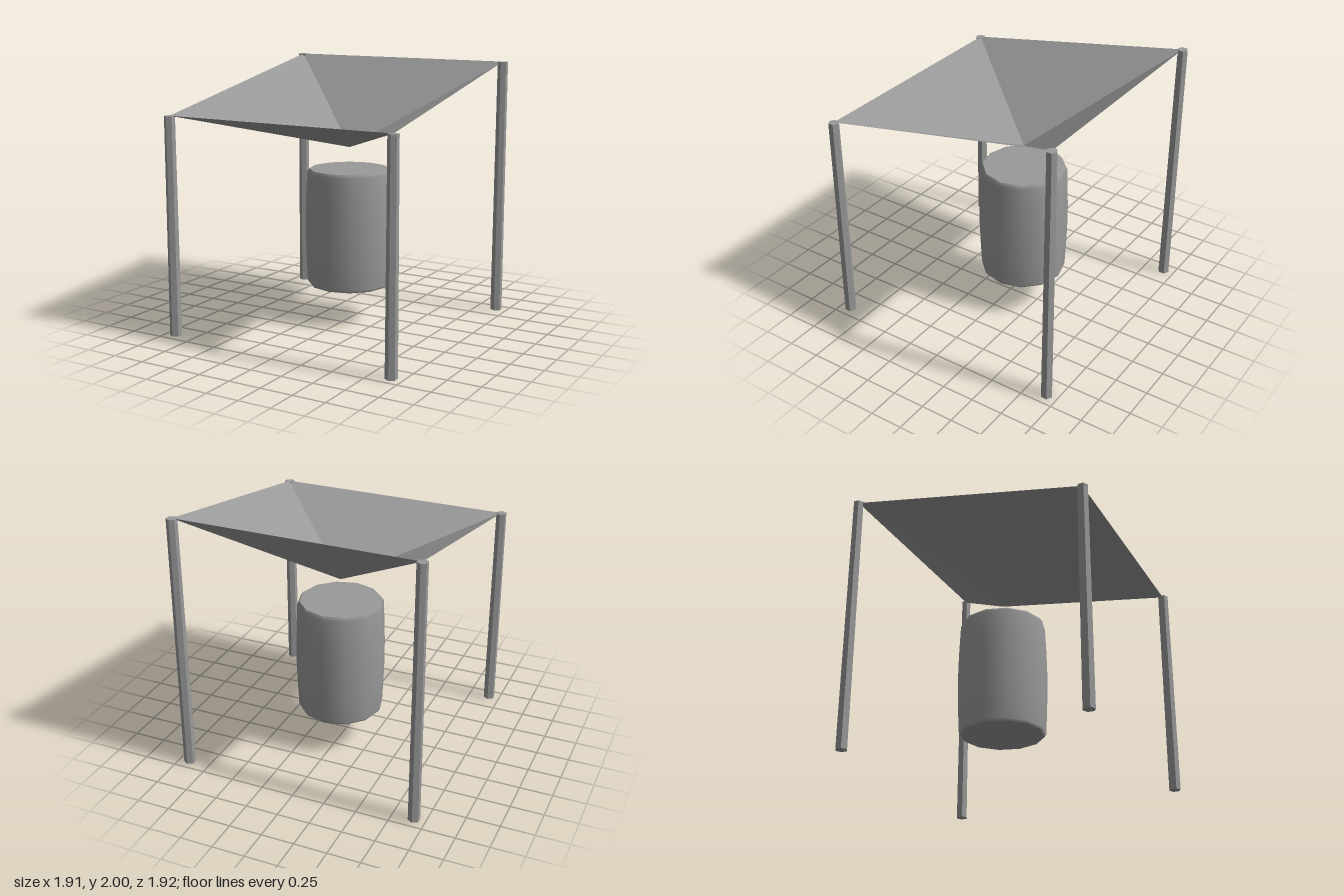
import * as THREE from 'three';

export function createModel() {
  const model = new THREE.Group();
  const grey = new THREE.MeshStandardMaterial({ name: 'grey', color: 0x999999 });
  const greyFlat = new THREE.MeshStandardMaterial({
    name: 'grey sheet', color: 0x999999, flatShading: true, side: THREE.DoubleSide,
  });

  const add = (name, geometry, material) => {
    const mesh = new THREE.Mesh(geometry, material);
    mesh.name = name;
    model.add(mesh);
    return mesh;
  };

  const reach = 0.914, frontHeight = 1.66, backHeight = 2, hubZ = -0.115;

  // Four slightly tapered hexagonal poles, the back pair taller
  for (const [depth, height] of [['front', frontHeight], ['back', backHeight]]) {
    for (const side of [1, -1]) {
      const pole = add(depth + (side > 0 ? 'Left' : 'Right') + 'Pole',
        new THREE.CylinderGeometry(0.04, 0.045, height, 6), greyFlat);
      pole.position.set(side * reach, height / 2, depth === 'front' ? reach : -reach);
    }
  }

  // Sloping canopy: four triangles sagging to a low centre point
  const corners = [
    [reach, frontHeight, reach], [reach, backHeight, -reach],
    [-reach, backHeight, -reach], [-reach, frontHeight, reach],
  ];
  const points = corners.flatMap((c, i) => [...c, ...corners[(i + 1) % 4], 0, 1.365, hubZ]);
  const sheet = new THREE.BufferGeometry();
  sheet.setAttribute('position', new THREE.Float32BufferAttribute(points, 3));
  sheet.computeVertexNormals();
  add('canopy', sheet, greyFlat);

  // Barrel hanging clear of the ground below the canopy's low point
  const profile = [
    [0.312, 0.29], [0.327, 0.31], [0.335, 0.5], [0.34, 0.66], [0.34, 0.83],
    [0.335, 0.99], [0.327, 1.175], [0.31, 1.2],
  ].map(([r, y]) => new THREE.Vector2(r, y));
  add('barrelWall', new THREE.LatheGeometry(profile, 12), grey).position.z = hubZ;

  // Flat barrel ends
  for (const [name, radius, y, turn] of [
    ['barrelTop', 0.31, 1.2, -1], ['barrelBottom', 0.312, 0.29, 1],
  ]) {
    const end = add(name, new THREE.CircleGeometry(radius, 12), grey);
    end.rotation.x = turn * Math.PI / 2;
    end.position.set(0, y, hubZ);
  }

  return model;
}
